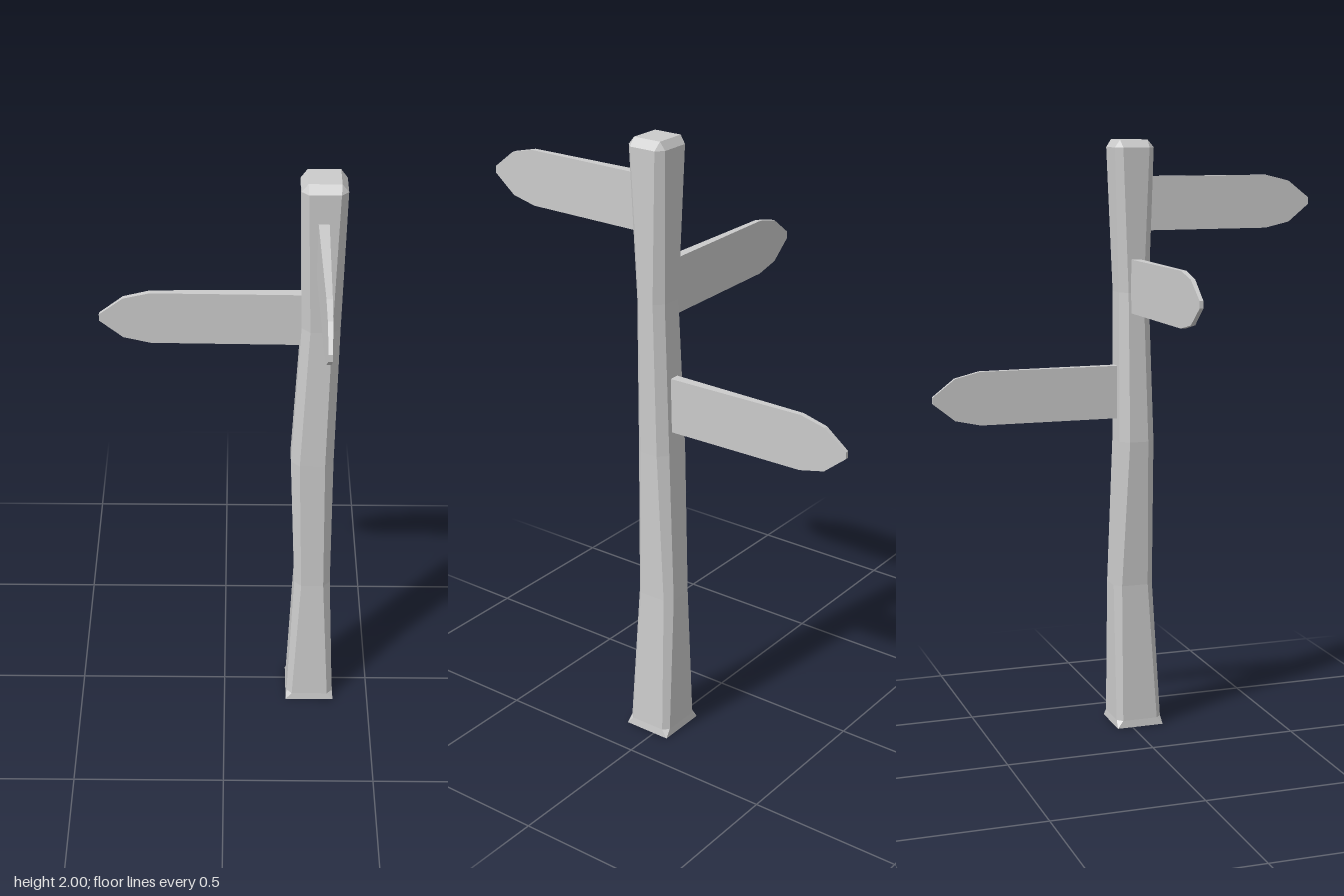
import * as THREE from 'three';

const material = new THREE.MeshStandardMaterial({ color: 0xcccccc, flatShading: true });

// Post sections from the ground up: y, x min, x max, z min, z max, corner cut
const SECTIONS = [
  [0, 0.215, 0.38, -0.053, 0.11, 0],
  [0.025, 0.218, 0.377, -0.051, 0.107, 0.018],
  [0.5, 0.235, 0.355, -0.053, 0.085, 0.023],
  [1.0, 0.213, 0.35, -0.035, 0.085, 0.028],
  [1.5, 0.235, 0.354, -0.03, 0.075, 0.026],
  [1.975, 0.222, 0.36, -0.047, 0.087, 0.022],
  [2.0, 0.242, 0.34, -0.03, 0.065, 0],
];

// Square section with cut corners, counter-clockwise seen from above
function ring([y, x0, x1, z0, z1, c]) {
  return [
    [x0 + c, z1], [x1 - c, z1], [x1, z1 - c], [x1, z0 + c],
    [x1 - c, z0], [x0 + c, z0], [x0, z0 + c], [x0, z1 - c],
  ].map(([x, z]) => new THREE.Vector3(x, y, z));
}

function postGeometry() {
  const rings = SECTIONS.map(ring);
  const positions = [];
  const tri = (a, b, c) => {
    if (new THREE.Triangle(a, b, c).getArea() < 1e-7) return;
    for (const v of [a, b, c]) positions.push(v.x, v.y, v.z);
  };
  // Sides
  for (let r = 0; r < rings.length - 1; r++) {
    const lo = rings[r], hi = rings[r + 1];
    for (let i = 0; i < 8; i++) {
      const j = (i + 1) % 8;
      tri(lo[i], lo[j], hi[j]);
      tri(lo[i], hi[j], hi[i]);
    }
  }
  // Underside and top
  const bottom = rings[0], top = rings[rings.length - 1];
  for (let i = 1; i < 7; i++) {
    tri(bottom[0], bottom[i + 1], bottom[i]);
    tri(top[0], top[i], top[i + 1]);
  }
  const geometry = new THREE.BufferGeometry();
  geometry.setAttribute('position', new THREE.Float32BufferAttribute(positions, 3));
  geometry.computeVertexNormals();
  return geometry;
}

// Pointed board along +x, thinning evenly towards its tip
function boardGeometry(length) {
  const L = length;
  const outline = [
    [0, -0.088], [L - 0.158, -0.088], [L - 0.073, -0.069], [L, -0.01],
    [L, 0.012], [L - 0.075, 0.07], [L - 0.158, 0.09], [0, 0.09],
  ].map(([x, y]) => new THREE.Vector2(x, y));
  const geometry = new THREE.ExtrudeGeometry(new THREE.Shape(outline), { depth: 1, bevelEnabled: false });
  geometry.translate(0, 0, -0.5);
  const p = geometry.attributes.position;
  for (let i = 0; i < p.count; i++) {
    p.setZ(i, p.getZ(i) * THREE.MathUtils.lerp(0.034, 0.012, p.getX(i) / L));
  }
  geometry.computeVertexNormals();
  return geometry;
}

export function createModel() {
  const model = new THREE.Group();
  model.name = 'signpost';
  const add = (name, geometry) => {
    const mesh = new THREE.Mesh(geometry, material);
    mesh.name = name;
    model.add(mesh);
    return mesh;
  };

  add('post', postGeometry());

  // Boards: name, length, root position, heading
  const boards = [
    ['frontBoard', 0.63, [0.29, 1.79, 0.03], -Math.PI / 2],
    ['rightBoard', 0.655, [0.27, 1.52, 0.021], Math.PI],
    ['backBoard', 0.66, [0.29, 1.163, 0], Math.PI / 2],
  ];
  for (const [name, length, position, heading] of boards) {
    const board = add(name, boardGeometry(length));
    board.position.set(...position);
    board.rotation.y = heading;
  }
  return model;
}
